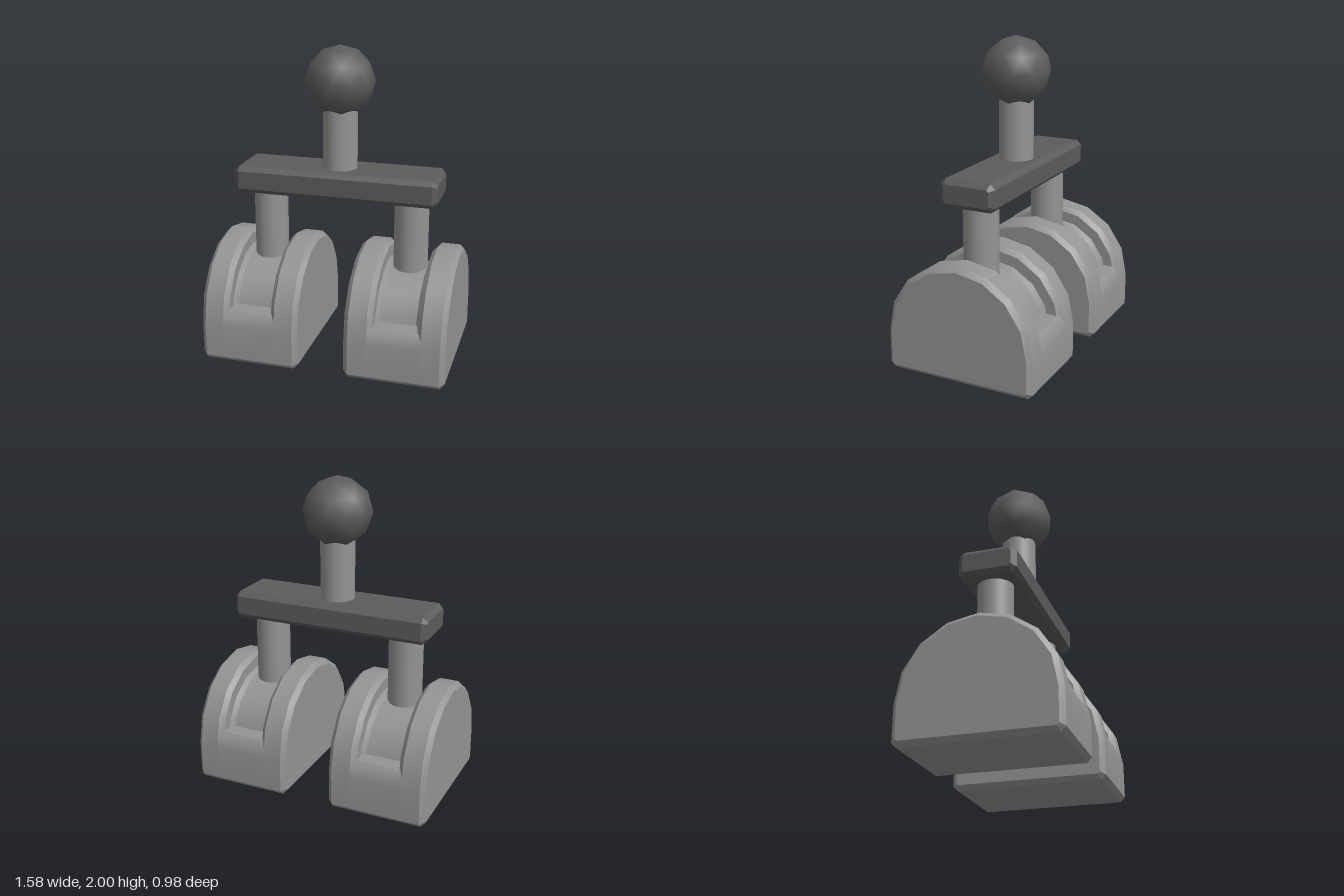
import * as THREE from 'three';
import { toCreasedNormals } from 'three/addons/utils/BufferGeometryUtils.js';

const BEVEL = 0.03;

// Chamfered slab: outline lies in (z, y), thickness runs along x from x0 to x1
function slab(points, x0, x1, bevel) {
  const shape = new THREE.Shape(points.map(([z, y]) => new THREE.Vector2(z, y)));
  const geo = new THREE.ExtrudeGeometry(shape, {
    depth: x1 - x0 - 2 * bevel,
    bevelEnabled: bevel > 0,
    bevelThickness: bevel,
    bevelSize: bevel,
    bevelOffset: -bevel,
    bevelSegments: 1,
  });
  geo.rotateY(Math.PI / 2).translate(x0 + bevel, 0, 0);
  return toCreasedNormals(geo, 0.5);
}

// Adds the mirrored half to a right-hand outline
const mirrored = (half) => [
  ...half,
  ...half.filter(([z]) => z > 0.001).reverse().map(([z, y]) => [-z, y]),
];

export function createModel() {
  const model = new THREE.Group();
  model.name = 'leverAssembly';
  const lightGrey = new THREE.MeshStandardMaterial({ color: 0x949494 });
  lightGrey.name = 'light grey';
  const darkGrey = new THREE.MeshStandardMaterial({ color: 0x5c5c5c });
  darkGrey.name = 'dark grey';

  const add = (parent, name, geo, material, x = 0, y = 0) => {
    const mesh = new THREE.Mesh(geo, material);
    mesh.name = name;
    mesh.position.set(x, y, 0);
    parent.add(mesh);
  };

  // Half-round cheek outline on a straight foot
  const arch = [[0.46, 0], [0.49, 0.03]];
  for (let i = 0; i <= 4; i++) {
    const a = (i * Math.PI) / 8;
    arch.push([0.49 * Math.cos(a), 0.25 + 0.495 * Math.sin(a)]);
  }
  const cheek = mirrored(arch);

  // Block closing the slot ends, with a chamfered ledge
  const ledge = mirrored([
    [0.46, 0], [0.49, 0.03], [0.49, 0.25], [0.478, 0.31], [0.45, 0.35],
  ]);

  // Curved slot floor with sloped corners against the cheeks
  const floorProfile = [[0.4, -0.145], [0.365, -0.115], [0.365, 0.115], [0.4, 0.145]];
  const floorGeo = toCreasedNormals(
    new THREE.LatheGeometry(
      floorProfile.map(([r, y]) => new THREE.Vector2(r, y)), 8, 0, Math.PI
    ).rotateZ(Math.PI / 2),
    0.5
  );

  // Two slotted housings, each with a rod
  for (const side of [-1, 1]) {
    const housing = new THREE.Group();
    housing.name = side > 0 ? 'leftHousing' : 'rightHousing';
    housing.position.x = side * 0.47;
    add(housing, 'outerCheek', slab(cheek, -0.32, -0.14, BEVEL), lightGrey);
    add(housing, 'innerCheek', slab(cheek, 0.14, 0.32, BEVEL), lightGrey);
    add(housing, 'slotBlock', slab(ledge, -0.175, 0.175, 0), lightGrey);
    add(housing, 'slotFloor', floorGeo, lightGrey, 0, 0.25);
    add(housing, 'rod', new THREE.CylinderGeometry(0.11, 0.11, 0.6, 24), lightGrey, 0, 0.8);
    model.add(housing);
  }

  // Crossbar with chamfered edges
  const bar = mirrored([[0.15, 1.05], [0.18, 1.08], [0.18, 1.195], [0.15, 1.225]]);
  add(model, 'crossbar', slab(bar, -0.655, 0.655, BEVEL), darkGrey);

  // Handle post and faceted-outline knob
  add(model, 'handlePost', new THREE.CylinderGeometry(0.11, 0.11, 0.46, 24), lightGrey, 0, 1.41);
  const ball = new THREE.IcosahedronGeometry(0.22, 1);
  ball.rotateZ(Math.atan(2 / (1 + Math.sqrt(5))));
  add(model, 'knob', ball, darkGrey, 0, 1.78);

  return model;
}
